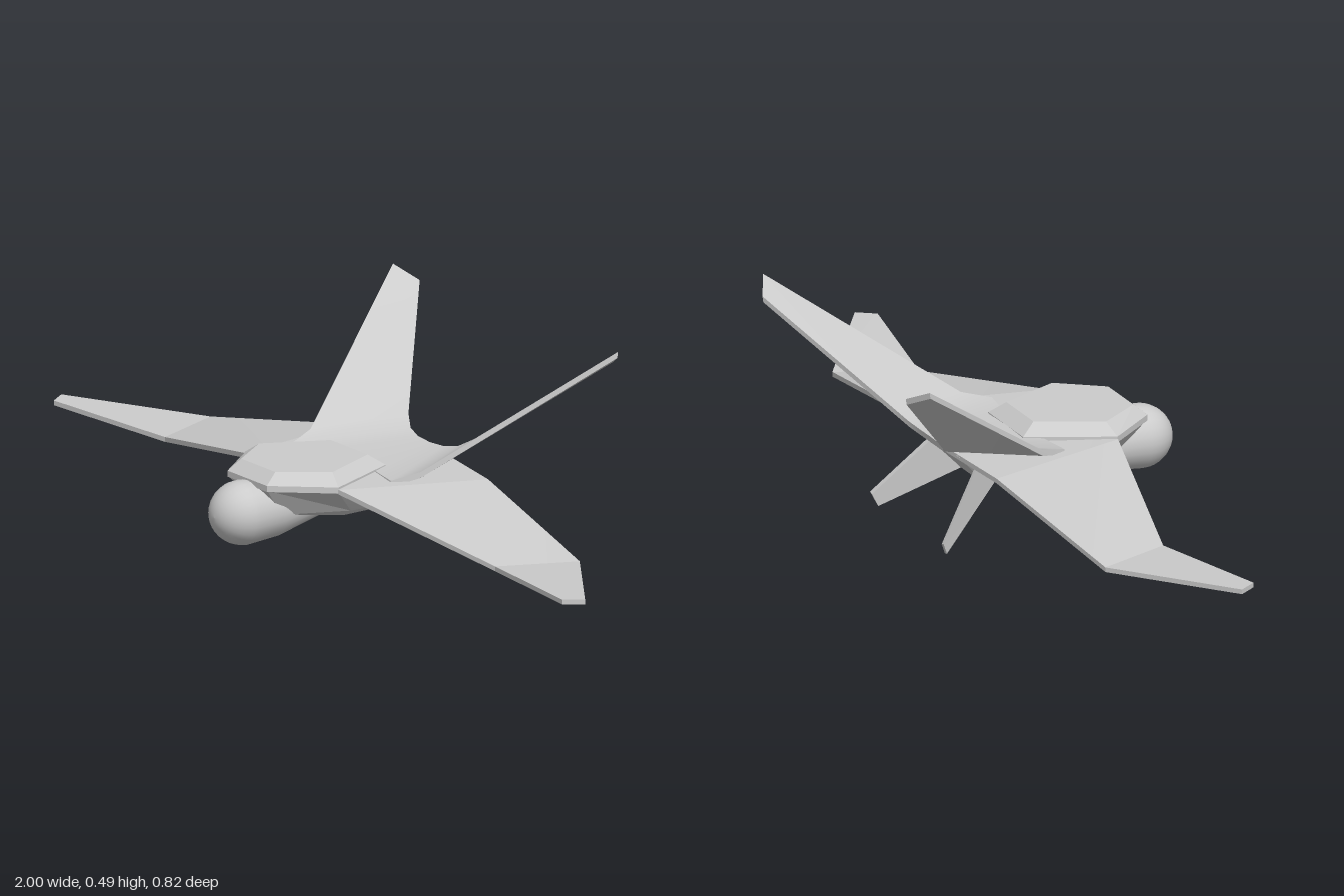
import * as THREE from 'three';
import { toCreasedNormals } from 'three/addons/utils/BufferGeometryUtils.js';

const material = new THREE.MeshStandardMaterial({ color: 0xcccccc });

// Skins closed rings of [x, y, z] points and caps both ends
function loft(name, rings, crease = 0.1) {
  const n = rings[0].length;
  const tris = [];
  for (let i = 0; i < rings.length - 1; i++) {
    for (let j = 0; j < n; j++) {
      const k = (j + 1) % n;
      const [a, b, c, d] = [rings[i][j], rings[i][k], rings[i + 1][k], rings[i + 1][j]];
      tris.push([a, b, c], [a, c, d]);
    }
  }
  const first = rings[0], last = rings[rings.length - 1];
  for (let j = 1; j < n - 1; j++) {
    tris.push([first[0], first[j + 1], first[j]], [last[0], last[j], last[j + 1]]);
  }
  // Turn the faces outward if the enclosed volume comes out negative
  const v = (p) => new THREE.Vector3(...p);
  const volume = tris.reduce((s, [a, b, c]) => s + v(a).dot(v(b).cross(v(c))), 0);
  if (volume < 0) tris.forEach((t) => t.reverse());
  const geometry = new THREE.BufferGeometry();
  geometry.setAttribute('position', new THREE.Float32BufferAttribute(tris.flat(2), 3));
  const mesh = new THREE.Mesh(toCreasedNormals(geometry, crease), material);
  mesh.name = name;
  return mesh;
}

const flip = ([x, y, z]) => [-x, y, z];
const mirrorRing = (half) => [...half, ...half.map(flip).reverse()];

// Thin plate: stations are [front, rear] points, offset gives the thickness
function plate(name, stations, offset, crease) {
  const shift = (p) => p.map((c, i) => c + offset[i]);
  const rings = stations.map(([f, r]) => [f, r, shift(r), shift(f)]);
  return loft(name, rings, crease);
}

// Left half stations (tip to centre) continued to the right tip
const fullSpan = (half) => [
  ...half,
  ...half.slice(0, -1).reverse().map((s) => s.map(flip)),
];

export function createModel() {
  const model = new THREE.Group();
  model.name = 'aircraft';

  // Bevelled hexagonal canopy on the upper deck
  const rim = (y) => mirrorRing([[0.075, y, 0.322], [0.177, y, 0.2], [0.09, y, 0.01]]);
  model.add(loft('canopy', [
    rim(0.198),
    rim(0.212),
    mirrorRing([[0.065, 0.237, 0.292], [0.14, 0.237, 0.19], [0.07, 0.237, 0.045]]),
  ]));

  // Faceted hull tapering to a narrow keel
  model.add(loft('hull', [
    mirrorRing([[0.075, 0.2, 0.32], [0.177, 0.2, 0.2], [0.12, 0.2, -0.16]]),
    mirrorRing([[0.05, 0.13, 0.265], [0.112, 0.13, 0.12], [0.075, 0.115, -0.08]]),
    mirrorRing([[0.04, 0.128, 0.26], [0.07, 0.108, 0.11], [0.06, 0.108, -0.075]]),
  ]));

  // Rounded nose pod tapering backward into the hull
  const profile = [new THREE.Vector2(0, -0.02), new THREE.Vector2(0.03, 0.1), new THREE.Vector2(0.067, 0.26)];
  for (let i = 0; i <= 10; i++) {
    const a = (i / 10) * Math.PI / 2;
    profile.push(new THREE.Vector2(0.073 * Math.cos(a), 0.335 + 0.077 * Math.sin(a)));
  }
  profile[profile.length - 1].x = 0;
  const pod = new THREE.Mesh(new THREE.LatheGeometry(profile, 24), material);
  pod.name = 'nosePod';
  pod.rotation.x = Math.PI / 2;
  pod.position.y = 0.136;
  model.add(pod);

  // Cranked main wing running through the body
  model.add(plate('mainWing', fullSpan([
    [[0.97, 0.134, 0.157], [1.0, 0.134, 0.115]],
    [[0.63, 0.12, 0.097], [0.705, 0.12, -0.08]],
    [[0.18, 0.207, 0.2], [0.27, 0.196, -0.14]],
    [[0, 0.208, 0.2], [0, 0.208, -0.172]],
  ]), [0, -0.011, 0]));

  // Swept upper tail fins blending into the rear deck
  model.add(plate('tailFins', fullSpan([
    [[0.43, 0.487, -0.38], [0.37, 0.458, -0.41]],
    [[0.21, 0.222, 0.0], [0.125, 0.243, -0.205]],
    [[0.187, 0.207, 0.065], [0.09, 0.222, -0.186]],
    [[0.1, 0.209, 0.05], [0.05, 0.214, -0.177]],
    [[0, 0.212, 0.03], [0, 0.212, -0.174]],
  ]), [0, -0.014, 0.002], 0.75));

  // Small lower fins
  for (const side of [1, -1]) {
    const m = (p) => [p[0] * side, p[1], p[2]];
    model.add(plate(side > 0 ? 'leftLowerFin' : 'rightLowerFin', [
      [[0.06, 0.125, -0.03], [0.12, 0.165, -0.12]],
      [[0.182, 0.003, -0.22], [0.19, 0.03, -0.232]],
    ].map((s) => s.map(m)), [-0.01 * side, -0.003, 0]));
  }

  return model;
}
